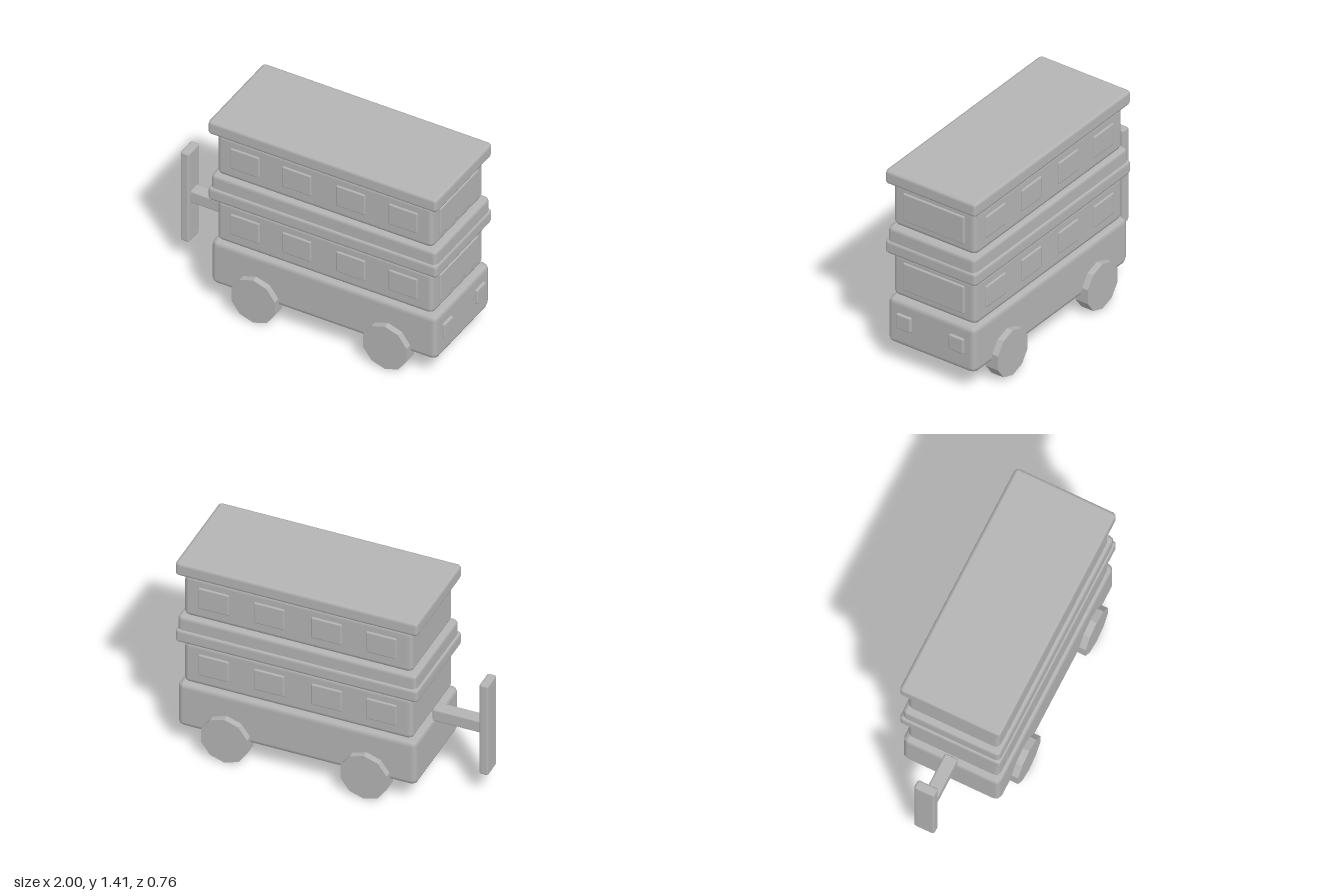
import * as THREE from 'three';
import { RoundedBoxGeometry } from 'three/addons/geometries/RoundedBoxGeometry.js';

export function createModel() {
  const bus = new THREE.Group();
  bus.name = 'windUpDoubleDeckerBus';
  const grey = new THREE.MeshStandardMaterial({ color: 0xb4b4b4 });
  grey.name = 'plain grey';

  // Bevelled block given by its extents along each axis
  function block(name, [x0, x1], [y0, y1], [z0, z1], bevel) {
    const geometry = new RoundedBoxGeometry(x1 - x0, y1 - y0, z1 - z0, 1, bevel);
    const mesh = new THREE.Mesh(geometry, grey);
    mesh.position.set((x0 + x1) / 2, (y0 + y1) / 2, (z0 + z1) / 2);
    mesh.name = name;
    bus.add(mesh);
  }

  // Faceted drum lying along z
  function drum(name, radius, width, sides, x, y, z, turn = 0) {
    const geometry = new THREE.CylinderGeometry(radius, radius, width, sides)
      .rotateX(Math.PI / 2).rotateZ(turn).toNonIndexed();
    geometry.computeVertexNormals();
    const mesh = new THREE.Mesh(geometry, grey);
    mesh.position.set(x, y, z);
    mesh.name = name;
    bus.add(mesh);
  }

  // Chassis, ledges and roof
  block('chassis', [-0.63, 0.98], [0.153, 0.487], [-0.335, 0.335], 0.04);
  block('lowerRoof', [-0.645, 0.99], [0.8, 0.9], [-0.348, 0.348], 0.025);
  block('upperFloor', [-0.63, 0.98], [0.85, 0.998], [-0.335, 0.335], 0.03);
  block('roof', [-0.645, 0.99], [1.308, 1.411], [-0.348, 0.348], 0.025);

  // Two decks, each with a windscreen and four windows per side
  for (const [deck, y] of [['lower', 0.487], ['upper', 0.997]]) {
    block(deck + 'Deck', [-0.597, 0.945], [y, y + 0.312], [-0.316, 0.316], 0.035);
    block(deck + 'Windscreen', [0.92, 0.957], [y + 0.063, y + 0.265], [-0.235, 0.235], 0.01);
    for (const x of [-0.391, -0.022, 0.364, 0.738]) {
      for (const side of [-1, 1]) {
        const z = side * 0.312;
        block(deck + 'Window', [x - 0.104, x + 0.104], [y + 0.087, y + 0.243],
          [z - 0.015, z + 0.015], 0.01);
      }
    }
  }

  // Wheels and headlights
  for (const side of [-1, 1]) {
    for (const x of [-0.298, 0.641]) drum('wheel', 0.163, 0.094, 10, x, 0.163, side * 0.332);
    const z = side * 0.201;
    block('headlight', [0.96, 0.998], [0.286, 0.394], [z - 0.056, z + 0.056], 0.01);
  }

  // Peg tucked under the roof
  drum('roofPeg', 0.06, 0.608, 8, 0.507, 1.346, 0, Math.PI / 8);

  // Wind-up key at the rear
  block('keyShaft', [-0.955, -0.61], [0.463, 0.553], [-0.045, 0.045], 0.012);
  block('keyHandle', [-1, -0.937], [0.168, 0.853], [-0.07, 0.07], 0.015);

  return bus;
}
